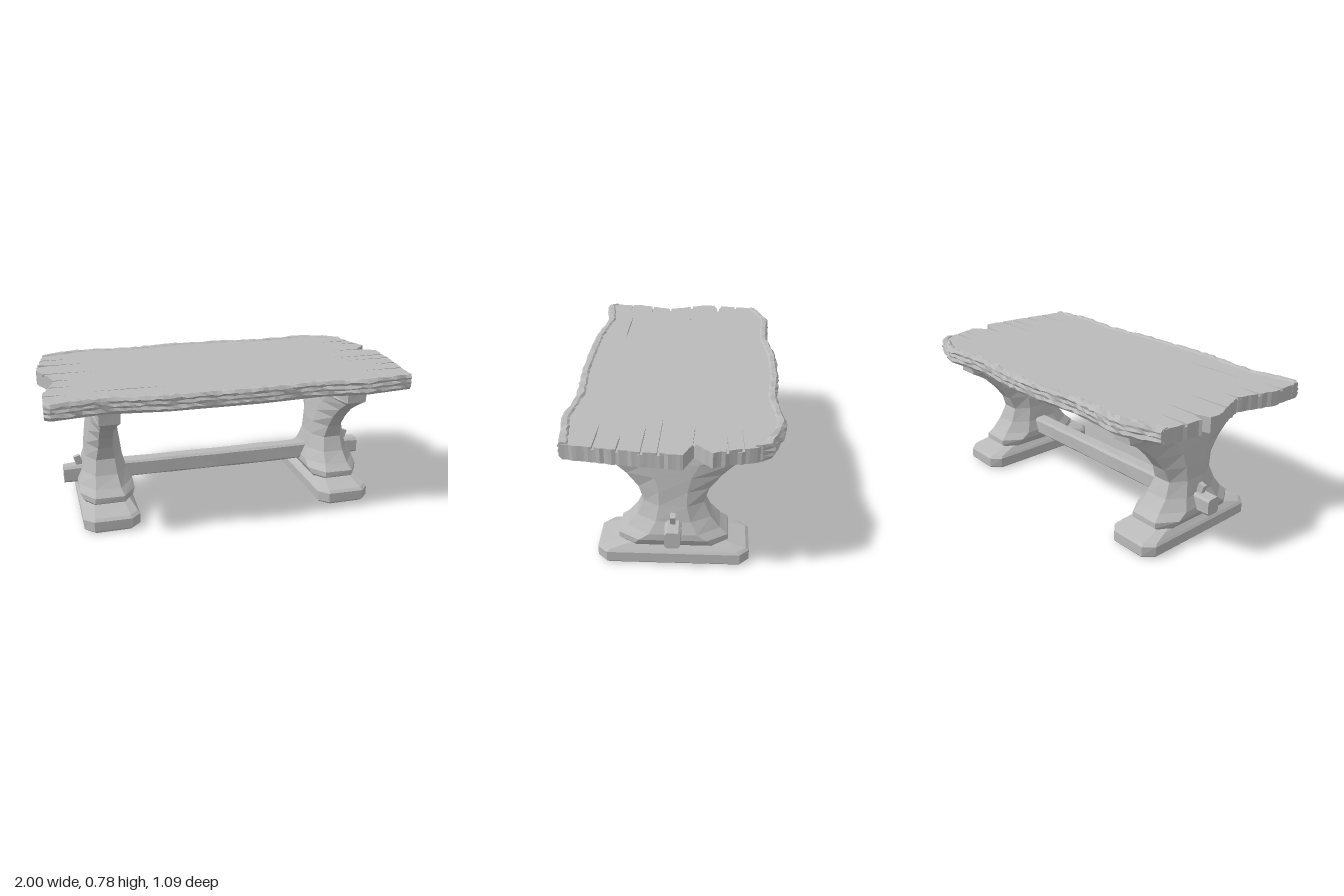
import * as THREE from 'three';

const wood = new THREE.MeshStandardMaterial({ color: 0xbababa });
wood.name = 'plain wood';

// repeatable noise in -1..1
function noise(a, b = 0) {
  const s = Math.sin(a * 127.1 + b * 311.7 + 7.3) * 43758.5453;
  return (s - Math.floor(s)) * 2 - 1;
}

// linear interpolation through [key, value] knots
function lerpKnots(knots, k) {
  let i = 0;
  while (i < knots.length - 2 && k > knots[i + 1][0]) i++;
  const [a, va] = knots[i], [b, vb] = knots[i + 1];
  return va + (vb - va) * (k - a) / (b - a);
}

// faceted solid through closed rings (counterclockwise seen from the last ring)
function loft(rings) {
  const n = rings[0].length, pos = [];
  const tri = (a, b, c) => pos.push(...a, ...b, ...c);
  for (let i = 0; i < rings.length - 1; i++) {
    for (let j = 0; j < n; j++) {
      const k = (j + 1) % n;
      const a = rings[i][j], b = rings[i][k], c = rings[i + 1][k], d = rings[i + 1][j];
      tri(a, b, c);
      tri(a, c, d);
    }
  }
  const cap = (ring, flip) => {
    const mid = [0, 1, 2].map(q => ring.reduce((s, p) => s + p[q], 0) / n);
    ring.forEach((p, j) => {
      const r = ring[(j + 1) % n];
      flip ? tri(mid, r, p) : tri(mid, p, r);
    });
  };
  cap(rings[0], true);
  cap(rings[rings.length - 1], false);
  const g = new THREE.BufferGeometry();
  g.setAttribute('position', new THREE.Float32BufferAttribute(pos, 3));
  g.computeVertexNormals();
  return g;
}

function add(parent, name, geometry) {
  const m = new THREE.Mesh(geometry, wood);
  m.name = name;
  parent.add(m);
  return m;
}

// octagon corners: half sizes hu, hv with narrower flats eu, ev
const octagon = (hu, hv, eu, ev) => [
  [hu, ev], [hu, -ev], [eu, -hv], [-eu, -hv], [-hu, -ev], [-hu, ev], [-eu, hv], [eu, hv],
];

// upright carved solid from [y, hx, hz, ex, ez] rows
const carved = (rows, rough) => loft(rows.map(([y, hx, hz, ex, ez], i) =>
  octagon(hx, hz, ex, ez).map(([x, z], j) =>
    [x + rough * noise(i, j), y, z + rough * noise(j, i + 20)])));

// table outline: long edges as [x, z], ragged ends as [z, x]
const backEdge = [[-0.95, -0.465], [-0.73, -0.535], [-0.41, -0.51], [-0.13, -0.543], [0.14, -0.54],
  [0.41, -0.513], [0.68, -0.543], [0.89, -0.465], [0.91, -0.42]];
const frontEdge = [[-0.99, 0.5], [-0.96, 0.525], [-0.71, 0.487], [-0.4, 0.525], [0.09, 0.528],
  [0.41, 0.503], [0.65, 0.535], [0.925, 0.5]];
const leftEnd = [[-0.45, -0.95], [-0.24, -0.985], [-0.215, -0.905], [-0.19, -0.995], [-0.13, -0.998],
  [0.1, -0.915], [0.31, -0.985], [0.485, -0.985]];
const rightEnd = [[-0.43, 0.905], [-0.19, 0.975], [-0.11, 0.89], [-0.065, 0.995], [0.11, 0.985], [0.485, 0.93]];
// cracks as [z, x of the tip]
const leftCracks = [[-0.33, -0.8], [-0.215, -0.72], [-0.04, -0.7], [0.1, -0.82], [0.22, -0.83], [0.36, -0.88]];
const rightCracks = [[-0.33, 0.75], [-0.26, 0.82], [-0.11, 0.73], [0.045, 0.67], [0.12, 0.74], [0.23, 0.83], [0.34, 0.73]];

// splintered end line, optionally with cracks running inwards
function endLine(knots, cracks) {
  const zs = knots.map(k => k[0]);
  for (let z = knots[0][0] + 0.018; z < 0.475; z += 0.018) zs.push(z);
  const at = z => [lerpKnots(knots, z) + 0.004 * noise(z), z];
  const pts = zs.filter(z => !cracks.some(c => Math.abs(c[0] - z) < 0.009)).map(at);
  for (const [z, tip] of cracks) pts.push(at(z - 0.006), [tip, z], at(z + 0.006));
  return pts.sort((a, b) => a[1] - b[1]);
}

function slab(top, depth, cracked) {
  const inset = (edge, d) => edge.slice(1, -1).map(([x, z]) => [x, z + d]);
  const outline = [
    ...inset(backEdge, 0.03),
    ...endLine(rightEnd, cracked ? rightCracks : []),
    ...inset(frontEdge, -0.03).reverse(),
    ...endLine(leftEnd, cracked ? leftCracks : []).reverse(),
  ];
  const toV2 = p => new THREE.Vector2(p[0], p[1]);
  const shape = new THREE.Shape(outline.map(toV2));
  if (cracked) {
    shape.holes.push(new THREE.Path([[-0.75, 0.335], [-0.56, 0.332], [-0.37, 0.34], [-0.56, 0.34]].map(toV2)));
  }
  const g = new THREE.ExtrudeGeometry(shape, { depth, bevelEnabled: false });
  return g.rotateX(Math.PI / 2).translate(0, top, 0);
}

// rough bark along a long edge; side is +1 for the front, -1 for the back
function bark(edge, side) {
  const section = [[-0.05, 0.762], [-0.036, 0.774], [-0.012, 0.772], [0, 0.757], [-0.005, 0.745],
    [0.002, 0.732], [-0.005, 0.72], [0.001, 0.706], [-0.012, 0.689], [-0.05, 0.689]];
  const x0 = edge[0][0], x1 = edge[edge.length - 1][0], steps = 64, rings = [];
  for (let i = 0; i <= steps; i++) {
    const x = x0 + (x1 - x0) * i / steps, z = lerpKnots(edge, x);
    const ring = section.map(([o, y], j) => {
      const r = j > 0 && j < 8 ? 0.005 : 0;
      return [x, y + r * 0.8 * noise(i, j), z + side * (o + r * noise(j + 3, i + side))];
    });
    rings.push(side > 0 ? ring : ring.reverse());
  }
  return loft(rings);
}

export function createModel() {
  const table = new THREE.Group();
  table.name = 'trestleTable';

  // top: solid plank, cracked surface layer and bark edges
  const top = new THREE.Group();
  top.name = 'tableTop';
  table.add(top);
  add(top, 'plank', slab(0.752, 0.064, false));
  add(top, 'crackedSurface', slab(0.766, 0.014, true));
  add(top, 'frontBark', bark(frontEdge, 1));
  add(top, 'backBark', bark(backEdge, -1));

  // trestles: carved hourglass leg on a chamfered foot, with a locking peg
  const legRows = [
    [0.1, 0.12, 0.25, 0.08, 0.19], [0.118, 0.135, 0.275, 0.08, 0.19], [0.147, 0.148, 0.275, 0.08, 0.17],
    [0.18, 0.146, 0.237, 0.07, 0.12], [0.24, 0.12, 0.186, 0.06, 0.09], [0.32, 0.1, 0.152, 0.05, 0.07],
    [0.395, 0.09, 0.178, 0.04, 0.07], [0.47, 0.08, 0.237, 0.035, 0.09], [0.54, 0.068, 0.312, 0.038, 0.13],
    [0.595, 0.06, 0.4, 0.045, 0.22], [0.618, 0.056, 0.443, 0.052, 0.438], [0.69, 0.056, 0.443, 0.052, 0.438],
  ];
  const footRows = [
    [0, 0.138, 0.375, 0.09, 0.325], [0.012, 0.149, 0.385, 0.1, 0.335], [0.065, 0.149, 0.385, 0.1, 0.335],
    [0.078, 0.14, 0.37, 0.095, 0.32], [0.1, 0.12, 0.285, 0.085, 0.24], [0.11, 0.105, 0.25, 0.075, 0.2],
  ];
  for (const [name, x, side] of [['left', 0.645, 1], ['right', -0.68, -1]]) {
    const trestle = new THREE.Group();
    trestle.name = name + 'Trestle';
    trestle.position.set(x, 0, -0.006);
    table.add(trestle);
    add(trestle, 'leg', carved(legRows, 0.003));
    add(trestle, 'foot', carved(footRows, 0.002));
    const peg = add(trestle, 'peg', new THREE.BoxGeometry(0.036, 0.16, 0.026));
    peg.position.set(side * 0.121, 0.22, 0);
    peg.rotation.z = -side * 0.3;
  }

  // stretcher beam running through both legs
  const beam = [];
  for (let i = 0; i <= 14; i++) {
    const x = -0.9 + 1.765 * i / 14, s = i === 0 || i === 14 ? 0.9 : 1;
    beam.push(octagon(0.043 * s, 0.049 * s, 0.03 * s, 0.036 * s).map(([z, y], j) =>
      [x, 0.2 + y + 0.002 * noise(i, j), -0.007 + z + 0.002 * noise(j, i)]).reverse());
  }
  add(table, 'stretcher', loft(beam.map(r => r.reverse())));

  return table;
}
